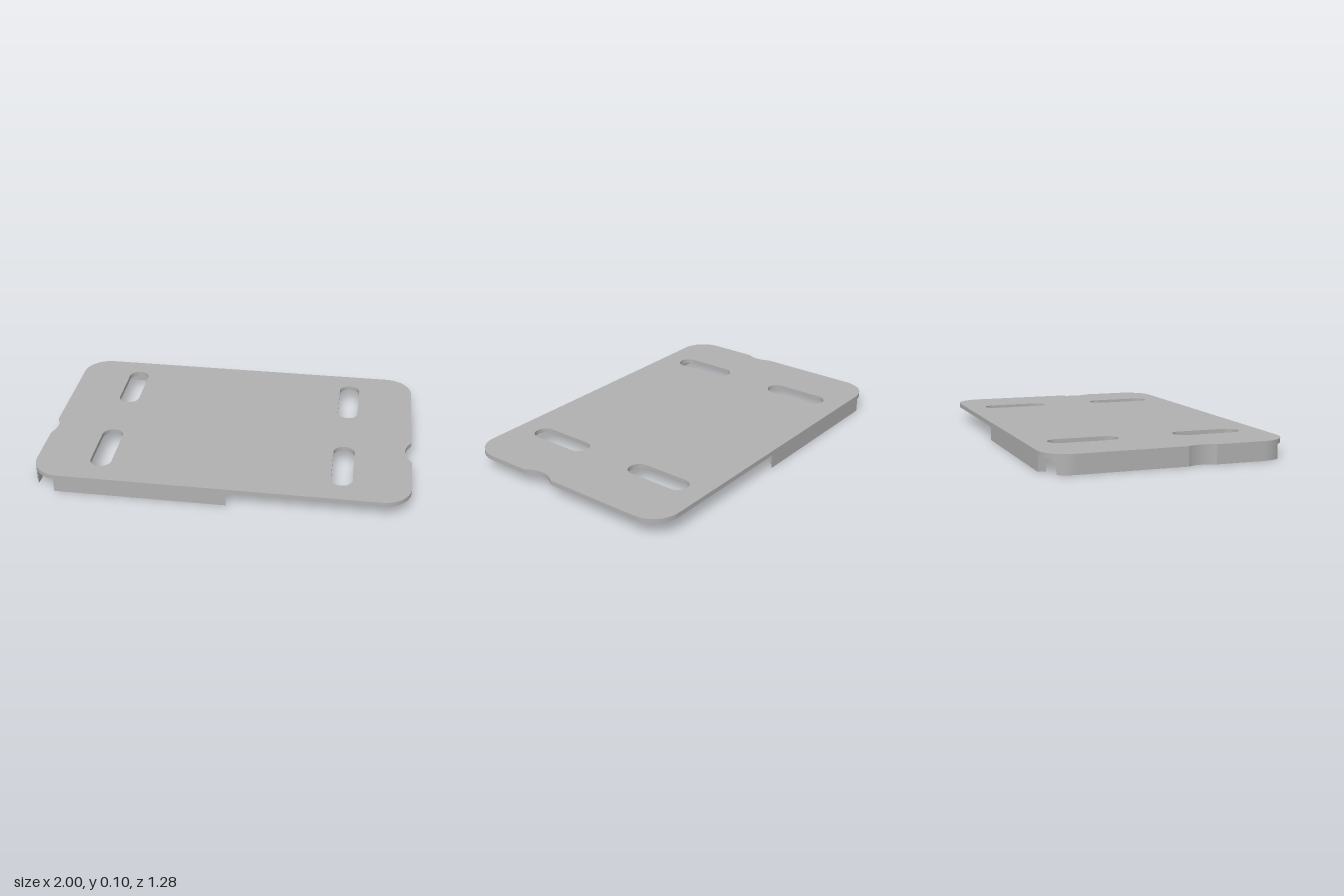
import * as THREE from 'three';
import { toCreasedNormals } from 'three/addons/utils/BufferGeometryUtils.js';

const W = 1, D = 0.64, R = 0.15;       // half width, half depth, corner radius
const TOP = 0.1, UNDER = 0.075;        // plate top and underside heights
const NOTCH_Z = 0.155;

const steel = new THREE.MeshStandardMaterial({ color: 0xb0b0b0 });
steel.name = 'grey steel';

// Extrudes a plan outline (x, z) downward from the height top to bottom
function slab(name, shape, top, bottom) {
  const geo = new THREE.ExtrudeGeometry(shape, { depth: top - bottom, bevelEnabled: false, curveSegments: 16 });
  geo.rotateX(Math.PI / 2);
  geo.translate(0, top, 0);
  const mesh = new THREE.Mesh(toCreasedNormals(geo, 0.5), steel);
  mesh.name = name;
  return mesh;
}

// Shallow arc cut in the -x edge, drawn from +z to -z
function leftNotch(shape) {
  shape.lineTo(-W, NOTCH_Z + 0.075);
  shape.absarc(-W - 0.13, NOTCH_Z, 0.15, Math.PI / 6, -Math.PI / 6, true);
}

// Long round-ended hole running along z
function slot(x, z) {
  const r = 0.0575, h = 0.185 - r;
  const path = new THREE.Path();
  path.absarc(x, z + h, r, 0, Math.PI, false);
  path.absarc(x, z - h, r, Math.PI, 2 * Math.PI, false);
  path.closePath();
  return path;
}

function plateShape() {
  const s = new THREE.Shape();
  const cx = W - R, cz = D - R, q = Math.PI / 2;
  s.moveTo(-cx, -D);
  s.absarc(cx, -cz, R, -q, 0, false);
  // deeper arc cut in the +x edge
  s.lineTo(W, NOTCH_Z - 0.095);
  s.absarc(W + 0.111, NOTCH_Z, 0.146, Math.PI + 0.708, Math.PI - 0.708, true);
  s.absarc(cx, cz, R, 0, q, false);
  s.absarc(-cx, cz, R, q, 2 * q, false);
  leftNotch(s);
  s.absarc(-cx, -cz, R, 2 * q, 3 * q, false);
  for (const x of [-0.653, 0.637]) for (const z of [-0.34, 0.335]) s.holes.push(slot(x, z));
  return s;
}

// End flange: flat inside, follows the rounded corners outside
function endFlangeShape() {
  const s = new THREE.Shape();
  const cx = W - R, cz = D - R, a = Math.atan2(0.09, 0.12);
  s.moveTo(-0.97, -0.58);
  s.lineTo(-0.97, 0.58);
  s.absarc(-cx, cz, R, Math.PI - a, Math.PI, false);
  leftNotch(s);
  s.absarc(-cx, -cz, R, Math.PI, Math.PI + a, false);
  return s;
}

// Long flange on the +z (side = 1) or -z (side = -1) edge, with a hollowed end
function longFlangeShape(side) {
  const pts = [[-0.87, 0.6], [-0.87, 0.6386], [-0.85, D], [0.05, D]];
  for (let i = 1; i <= 10; i++) {
    const a = Math.PI / 2 * (1 + i / 10);
    pts.push([0.05 + 0.04 * Math.cos(a), 0.6 + 0.04 * Math.sin(a)]);
  }
  return new THREE.Shape(pts.map(([x, z]) => new THREE.Vector2(x, z * side)));
}

export function createModel() {
  const group = new THREE.Group();
  group.name = 'mountingPlate';
  group.add(
    slab('plate', plateShape(), TOP, UNDER),
    slab('endFlange', endFlangeShape(), UNDER, 0),
    slab('frontFlange', longFlangeShape(1), UNDER, 0),
    slab('backFlange', longFlangeShape(-1), UNDER, 0),
  );
  return group;
}
